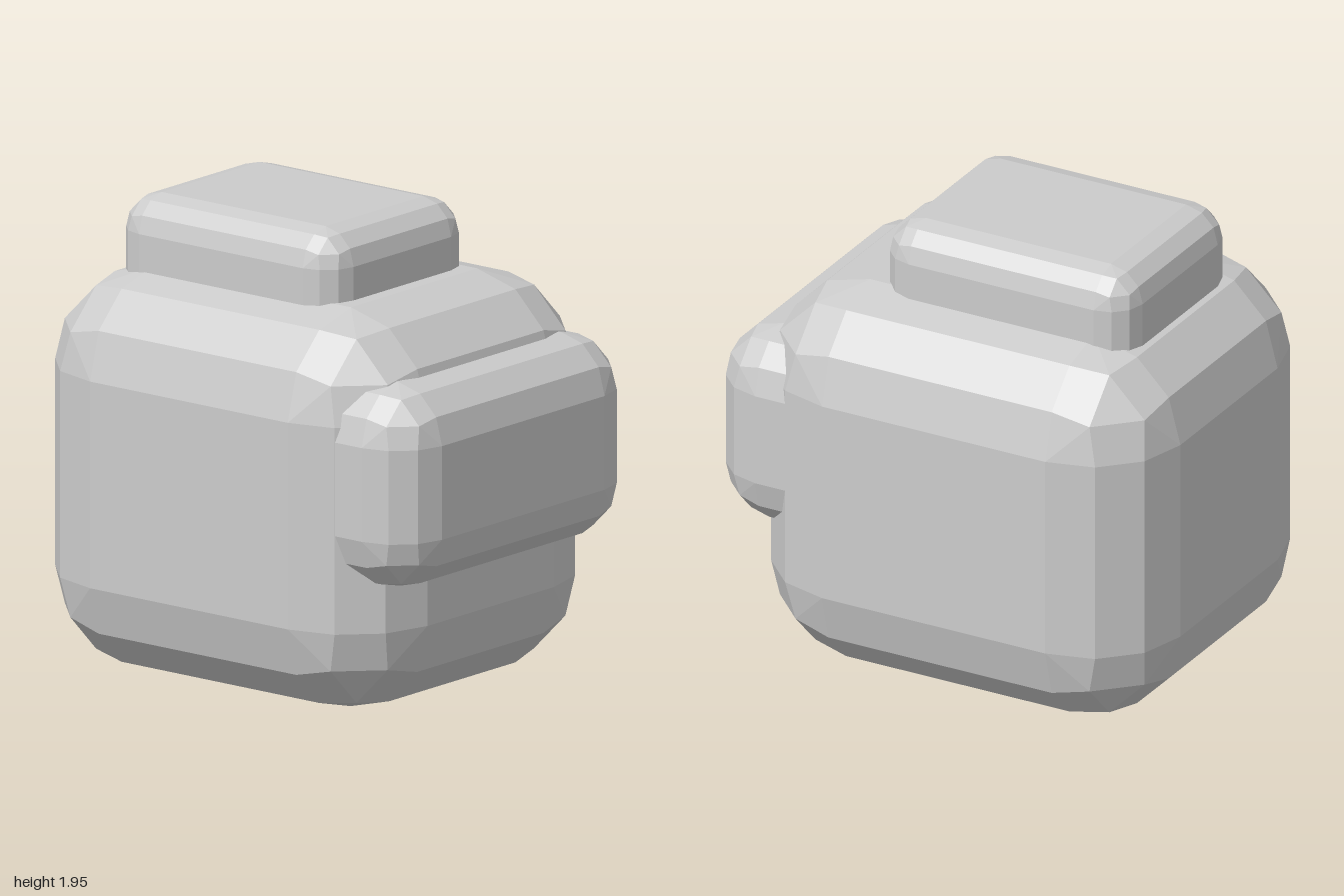
import * as THREE from 'three';
import { ConvexGeometry } from 'three/addons/geometries/ConvexGeometry.js';

// Directions of one corner: an eighth of a sphere with three steps along each arc
function cornerDirections() {
  const c = Math.cos(Math.PI / 6), s = Math.sin(Math.PI / 6);
  const dirs = [];
  for (const [x, y, z] of [[1, 0, 0], [c, s, 0], [c, 0, s], [0.816, 0.408, 0.408]]) {
    dirs.push([x, y, z], [z, x, y], [y, z, x]);
  }
  return dirs;
}

// Faceted box between two corners, with every edge rounded in three steps
function bevelledBox(name, min, max, radius, material) {
  const dirs = cornerDirections();
  const points = [];
  for (const sx of [-1, 1]) for (const sy of [-1, 1]) for (const sz of [-1, 1]) {
    const sign = [sx, sy, sz];
    for (const d of dirs) {
      const p = sign.map((s, i) => (s > 0 ? max[i] : min[i]) - s * radius * (1 - d[i]));
      points.push(new THREE.Vector3(...p));
    }
  }
  const mesh = new THREE.Mesh(new ConvexGeometry(points), material);
  mesh.name = name;
  return mesh;
}

export function createModel() {
  const model = new THREE.Group();
  model.name = 'visoredHead';
  const grey = new THREE.MeshStandardMaterial({ color: 0xcccccc, flatShading: true });

  model.add(
    // Main rounded body
    bevelledBox('body', [-0.8, 0, -1], [0.8, 1.66, 0.83], 0.4, grey),
    // Wide visor sunk into the front
    bevelledBox('visor', [-0.745, 0.58, 0.4], [0.745, 1.43, 1], 0.23, grey),
    // Block sunk into the top, set towards the back
    bevelledBox('topBlock', [-0.455, 1.4, -0.775], [0.455, 1.945, 0.37], 0.146, grey),
  );
  return model;
}
